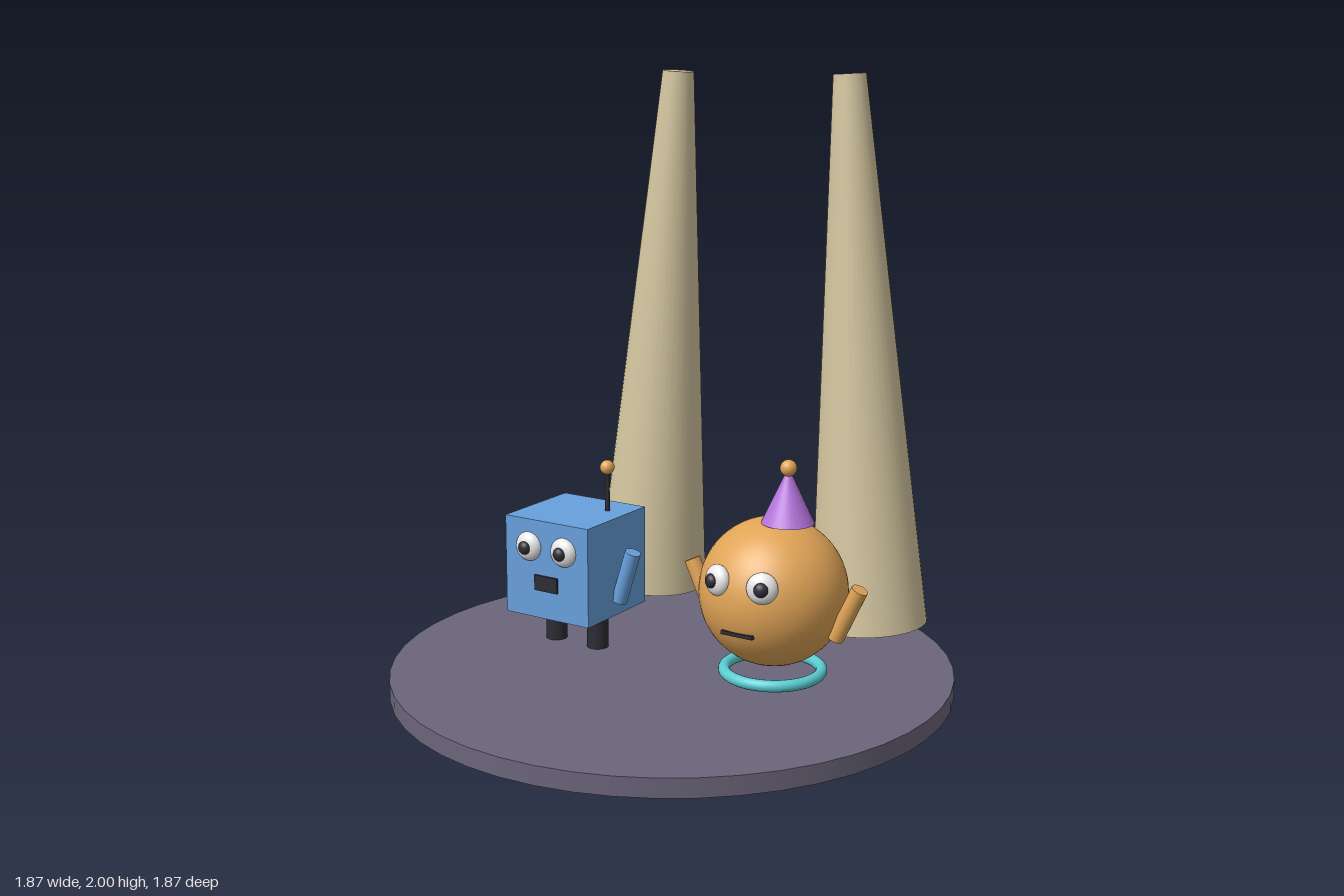
import * as THREE from 'three';

const mat = (name, color) => {
  const m = new THREE.MeshStandardMaterial({ color });
  m.name = name;
  return m;
};

export function createModel() {
  const model = new THREE.Group();
  model.name = 'twoCharactersOnStage';
  const floorMat = mat('slate purple', 0x6b657a);
  const beamMat = mat('warm beige', 0xd4c6a0);
  const blue = mat('blue', 0x68a0dc);
  const orange = mat('orange', 0xe0a456);
  const purple = mat('purple', 0xb474dc);
  const cyan = mat('cyan', 0x5accd2);
  const white = mat('eye white', 0xeeeeee);
  const dark = mat('near black', 0x2c2c34);

  const add = (parent, name, geometry, material, x = 0, y = 0, z = 0) => {
    const mesh = new THREE.Mesh(geometry, material);
    mesh.name = name;
    mesh.position.set(x, y, z);
    parent.add(mesh);
    return mesh;
  };

  // Tapered rod running from point a to point b
  const rod = (parent, name, material, a, b, rA, rB = rA, sides = 24) => {
    const from = new THREE.Vector3(...a), to = new THREE.Vector3(...b);
    const dir = to.clone().sub(from);
    const mesh = add(parent, name, new THREE.CylinderGeometry(rB, rA, dir.length(), sides), material);
    mesh.position.copy(from).add(to).multiplyScalar(0.5);
    mesh.quaternion.setFromUnitVectors(new THREE.Vector3(0, 1, 0), dir.normalize());
  };

  // Flattened eye with a pupil, turned to face along a direction
  const eye = (parent, x, y, z, dir) => {
    const g = new THREE.Group();
    g.name = 'eye';
    g.position.set(x, y, z);
    g.quaternion.setFromUnitVectors(new THREE.Vector3(0, 0, 1), new THREE.Vector3(...dir).normalize());
    add(g, 'eyeball', new THREE.SphereGeometry(0.05, 24, 16), white).scale.z = 0.6;
    add(g, 'pupil', new THREE.SphereGeometry(0.023, 20, 12), dark, 0, 0, 0.026).scale.z = 0.75;
    parent.add(g);
  };

  // Round stage
  add(model, 'stage', new THREE.CylinderGeometry(0.935, 0.935, 0.062, 48), floorMat, 0, 0.031, 0);

  // Two leaning light beams at the back
  for (const s of [-1, 1])
    rod(model, 'lightBeam', beamMat, [s * 0.45, 0.133, -0.56], [s * 0.335, 1.997, -0.56], 0.2, 0.055, 40);

  // Box robot
  const robot = new THREE.Group();
  robot.name = 'boxRobot';
  robot.position.set(-0.39, 0, 0);
  model.add(robot);
  add(robot, 'body', new THREE.BoxGeometry(0.34, 0.34, 0.34), blue, 0, 0.36, 0);
  for (const s of [-1, 1]) {
    rod(robot, 'leg', dark, [s * 0.087, 0.06, 0], [s * 0.087, 0.2, 0], 0.037);
    eye(robot, s * 0.072, 0.435, 0.17, [0, 0, 1]);
  }
  rod(robot, 'rightArm', blue, [-0.193, 0.243, 0.052], [-0.239, 0.422, -0.048], 0.027);
  rod(robot, 'leftArm', blue, [0.178, 0.24, 0], [0.235, 0.42, 0], 0.027);
  add(robot, 'mouth', new THREE.BoxGeometry(0.094, 0.053, 0.009), dark, 0, 0.314, 0.173);
  rod(robot, 'antenna', dark, [0.09, 0.52, -0.06], [0.09, 0.68, -0.06], 0.008, 0.008, 12);
  add(robot, 'antennaTip', new THREE.SphereGeometry(0.025, 20, 14), orange, 0.09, 0.682, -0.06);

  // Round character
  const round = new THREE.Group();
  round.name = 'roundCharacter';
  round.position.set(0.387, 0, 0);
  model.add(round);
  add(round, 'body', new THREE.SphereGeometry(0.24, 48, 32), orange, 0, 0.383, 0);
  for (const s of [-1, 1]) {
    rod(round, 'arm', orange, [s * 0.225, 0.265, 0], [s * 0.307, 0.438, 0], 0.027);
    eye(round, s * 0.08, 0.46, 0.212, [s * 0.08, 0.02, 0.212]);
  }
  add(round, 'mouth', new THREE.BoxGeometry(0.112, 0.012, 0.02), dark, 0, 0.3, 0.222);

  // Party hat
  add(round, 'hat', new THREE.ConeGeometry(0.085, 0.18, 32), purple, 0.049, 0.705, 0);
  add(round, 'hatPompom', new THREE.SphereGeometry(0.027, 20, 14), orange, 0.049, 0.792, 0);

  // Hover ring under the round character
  add(round, 'hoverRing', new THREE.TorusGeometry(0.157, 0.019, 16, 48), cyan, 0, 0.119, 0).rotation.x = Math.PI / 2;

  return model;
}
